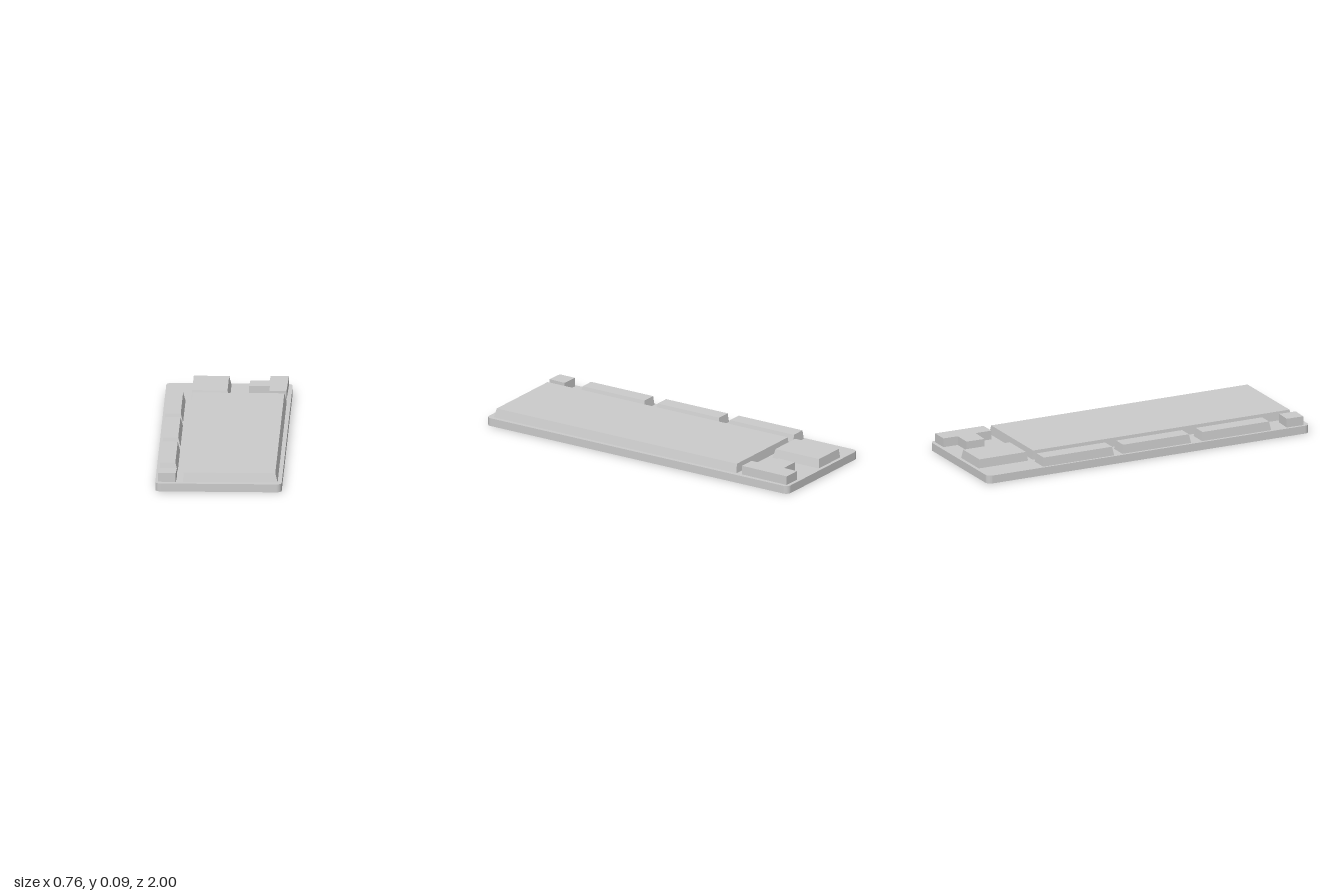
import * as THREE from 'three';

const material = new THREE.MeshStandardMaterial({ color: 0xcccccc, flatShading: true });
const BASE_H = 0.045, TOP = 0.095, TURN = 0.0354;

function addMesh(parent, name, geometry) {
  const mesh = new THREE.Mesh(geometry, material);
  mesh.name = name;
  parent.add(mesh);
  return mesh;
}

// Extrude a plan outline upwards (shape y points to -z)
function extrudeUp(shape, y0, y1) {
  return new THREE.ExtrudeGeometry(shape, { depth: y1 - y0, bevelEnabled: false, curveSegments: 4 })
    .rotateX(-Math.PI / 2).translate(0, y0, 0);
}

// Block on the base whose top is drawn in slightly, mostly on the right and front
function taperedBlock(x, z, w, d) {
  const geo = new THREE.BoxGeometry(w, TOP - BASE_H, d);
  const p = geo.attributes.position;
  for (let i = 0; i < p.count; i++) {
    if (p.getY(i) < 0) continue;
    p.setX(i, p.getX(i) + (p.getX(i) > 0 ? -0.013 : 0.004));
    p.setZ(i, p.getZ(i) + (p.getZ(i) > 0 ? -0.011 : 0.006));
  }
  geo.translate(x, (TOP + BASE_H) / 2, z);
  geo.computeVertexNormals();
  return geo;
}

function roundedRect(w, d, r) {
  const s = new THREE.Shape(), x = w / 2, y = d / 2;
  s.moveTo(-x + r, -y);
  s.absarc(x - r, -y + r, r, -Math.PI / 2, 0);
  s.absarc(x - r, y - r, r, 0, Math.PI / 2);
  s.absarc(-x + r, y - r, r, Math.PI / 2, Math.PI);
  s.absarc(-x + r, -y + r, r, Math.PI, Math.PI * 1.5);
  s.closePath();
  return s;
}

export function createModel() {
  const model = new THREE.Group();
  model.name = 'slabModel';

  // Base plate and the blocks aligned with it, turned slightly together
  const plate = new THREE.Group();
  plate.name = 'plate';
  plate.rotation.y = TURN;
  model.add(plate);
  addMesh(plate, 'basePlate', extrudeUp(roundedRect(0.69, 1.978, 0.03), 0, BASE_H));
  addMesh(plate, 'mainSlab', taperedBlock(0.064, 0.158, 0.517, 1.591));
  addMesh(plate, 'backBlock', taperedBlock(-0.094, -0.818, 0.21, 0.303));
  const sideBlocks = [[-0.281, -0.425, 0.102, 0.436], [-0.279, 0.056, 0.1, 0.421], [-0.279, 0.546, 0.1, 0.424]];
  sideBlocks.forEach((b, i) => addMesh(plate, `sideBlock${i + 1}`, taperedBlock(...b)));

  // Small straight block at the front corner
  addMesh(model, 'cornerBlock', new THREE.BoxGeometry(0.097, TOP - BASE_H, 0.1))
    .position.set(-0.248, (TOP + BASE_H) / 2, 0.916);

  // T-shaped block at the back corner, listed as x, z
  const tee = [[0.085, -0.777], [0.199, -0.777], [0.202, -0.68], [0.296, -0.684],
    [0.29, -0.979], [0.19, -0.976], [0.19, -0.889], [0.085, -0.886]];
  const outline = new THREE.Shape(tee.map(([x, z]) => new THREE.Vector2(x, -z)));
  addMesh(model, 'teeBlock', extrudeUp(outline, BASE_H, TOP));

  return model;
}
